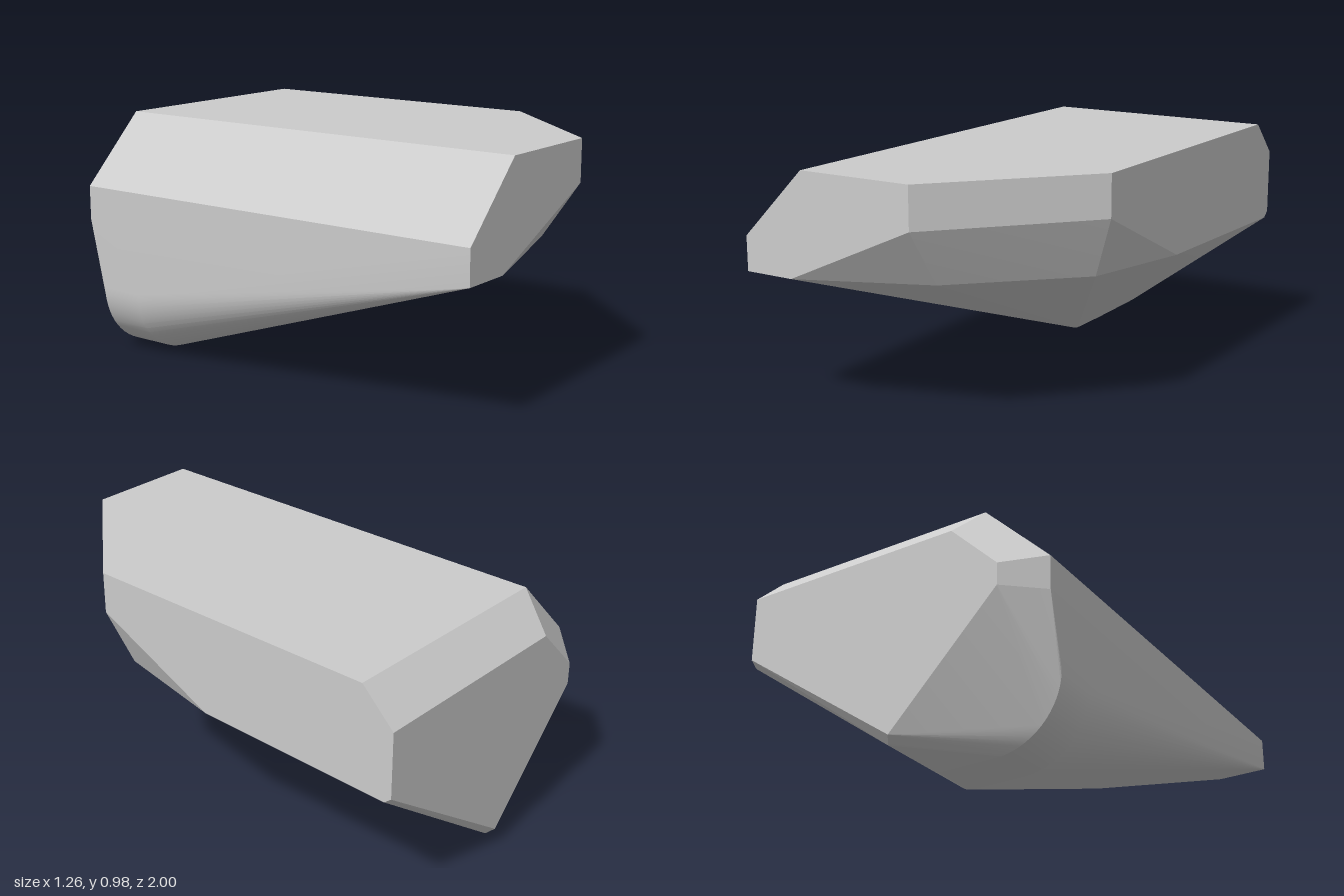
import * as THREE from 'three';
import { ConvexGeometry } from 'three/addons/geometries/ConvexGeometry.js';
import { toCreasedNormals } from 'three/addons/utils/BufferGeometryUtils.js';

export function createModel() {
  const group = new THREE.Group();
  const points = [];
  const add = (x, y, z) => points.push(new THREE.Vector3(x, y, z));

  // flat top with one cut front corner
  add(-0.355, 0.98, 1);
  add(0.135, 0.98, 1);
  add(0.63, 0.98, 0.44);
  add(0.63, 0.98, -0.86);
  add(-0.355, 0.98, -0.86);

  // right wall below the sloped shoulder
  for (const z of [1, -0.86]) {
    add(-0.635, 0.7, z);
    add(-0.635, 0.56, z);
  }

  // lower edge of the front and the cut corner
  add(-0.42, 0.56, 1);
  add(0.135, 0.81, 1);
  add(0.63, 0.81, 0.44);
  add(0.135, 0.58, 0.84);
  add(0.54, 0.57, 0.39);
  add(0.63, 0.56, -0.1);

  // back face inside its chamfer
  add(0.63, 0.84, -1);
  add(-0.3, 0.84, -1);
  add(-0.5, 0.64, -1);
  add(-0.5, 0.55, -1);
  add(-0.05, 0.085, -1);
  add(0.63, 0.57, -1);

  // narrow chamfer along the lower back edge
  add(0.63, 0.545, -0.97);
  add(-0.03, 0.06, -0.97);

  // foot: large round on one side, small round on the other
  const r = 0.275;
  const steps = 16;
  for (const z of [-0.6, -0.79]) {
    for (let i = 0; i <= steps; i++) {
      const a = (i / steps) * Math.PI / 2;
      add(-0.36 - r * Math.cos(a), r - r * Math.sin(a), z);
    }
    add(-0.135, 0, z);
    add(-0.117, 0.004, z);
    add(-0.1, 0.013, z);
  }

  const body = new THREE.Mesh(
    toCreasedNormals(new ConvexGeometry(points), 0.15),
    new THREE.MeshStandardMaterial({ color: 0xcccccc })
  );
  body.name = 'facetedBlock';
  group.add(body);
  return group;
}
